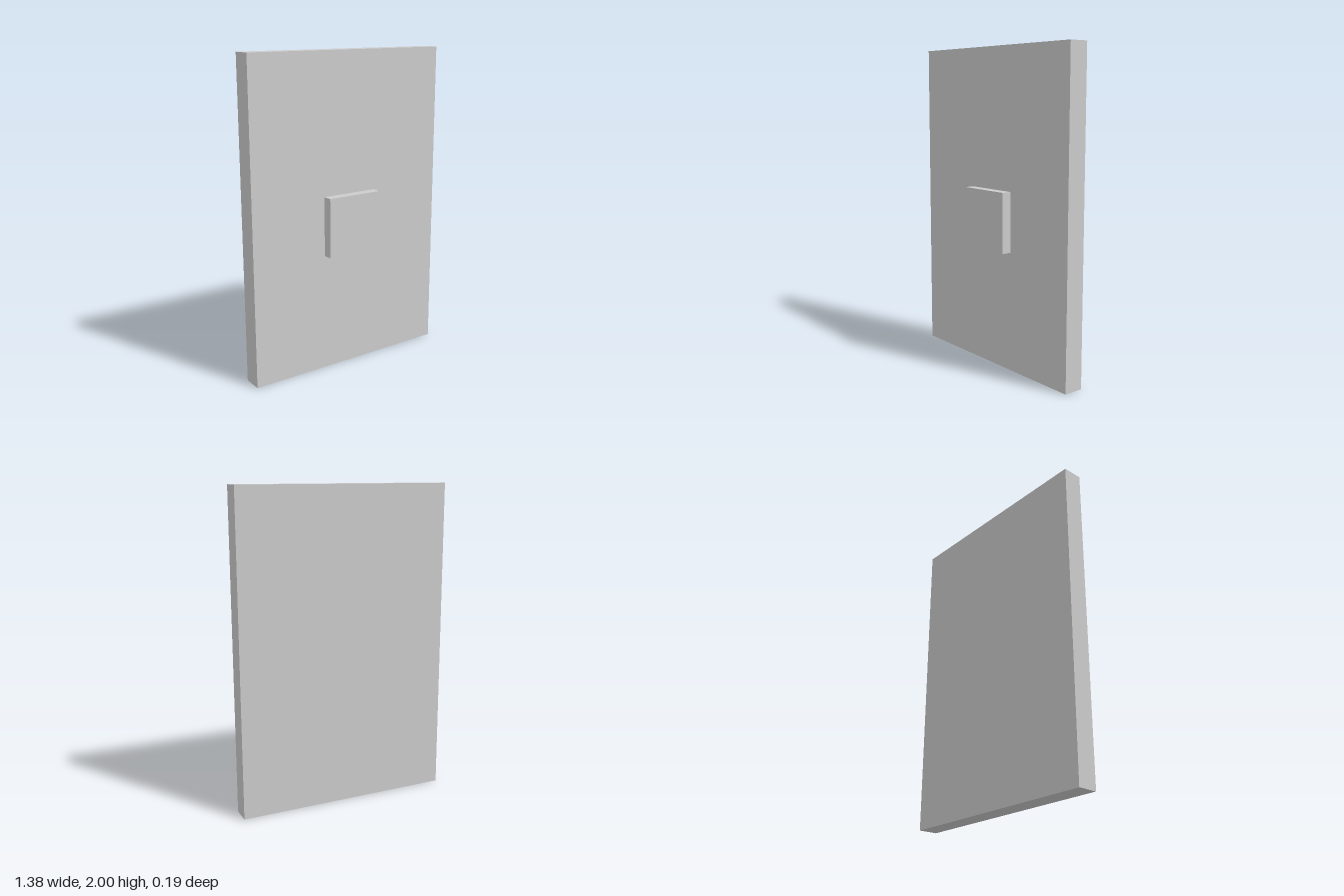
import * as THREE from 'three';

const material = new THREE.MeshStandardMaterial({ color: 0xcccccc, flatShading: true });

// Box given by its size, bottom height and back depth, centred on x
function box(name, width, height, depth, bottom, back) {
  const mesh = new THREE.Mesh(new THREE.BoxGeometry(width, height, depth), material);
  mesh.name = name;
  mesh.position.set(0, bottom + height / 2, back + depth / 2);
  return mesh;
}

export function createModel() {
  const model = new THREE.Group();
  model.name = 'panelWithButton';

  // Tall flat slab
  model.add(box('panel', 1.375, 2, 0.125, 0, -0.09375));

  // Square block raised from the front face
  model.add(box('button', 0.375, 0.375, 0.0625, 0.75, 0.03125));

  return model;
}
